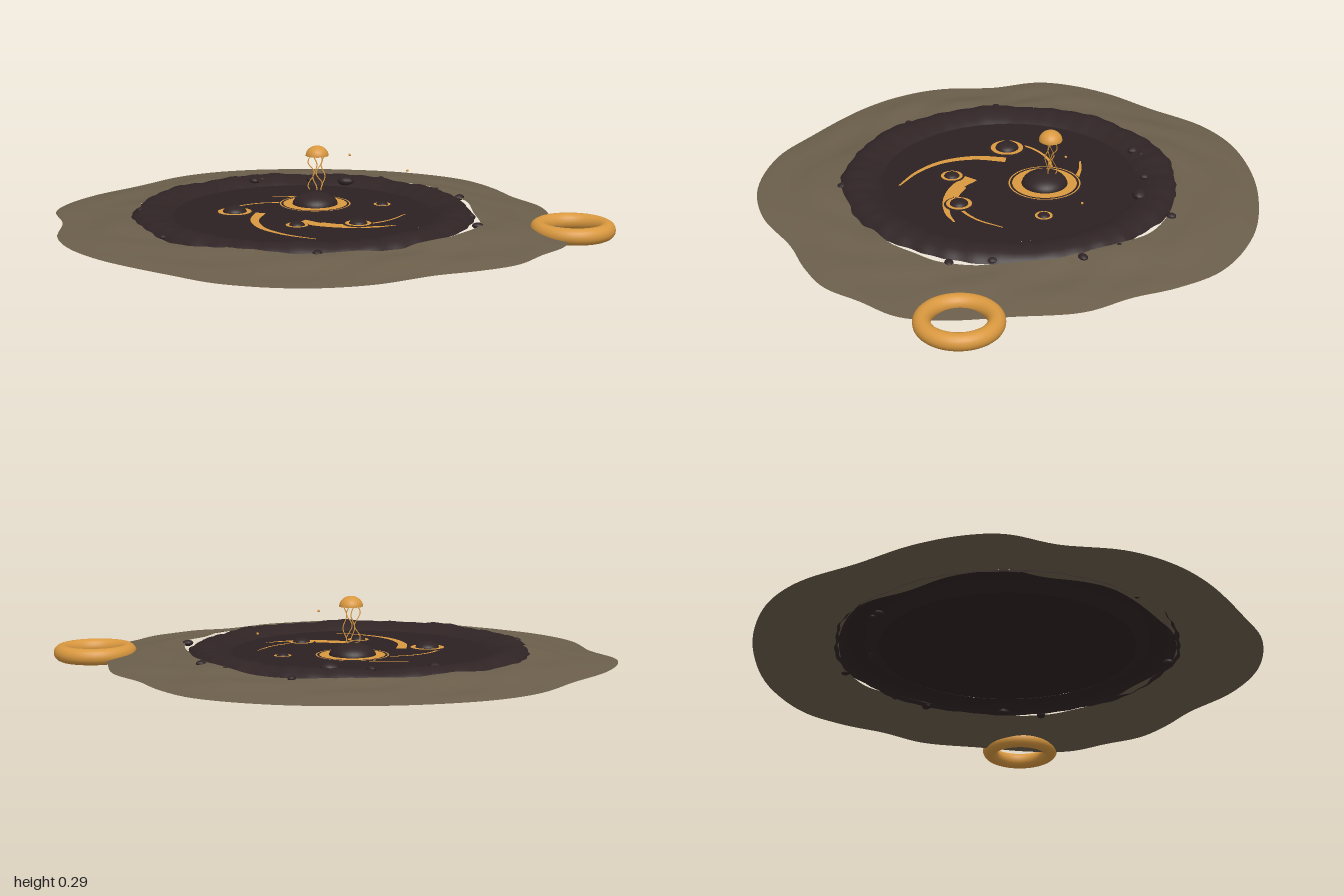
import * as THREE from 'three';

const mat = (name, color, side = THREE.DoubleSide) => {
  const m = new THREE.MeshStandardMaterial({ color, side });
  m.name = name;
  return m;
};

// Smooth sheet from a rule: fn(u, v) gives [x, y, z]
function sheet(fn, nu, nv) {
  const pos = [], idx = [];
  for (let i = 0; i <= nu; i++)
    for (let j = 0; j <= nv; j++) pos.push(...fn(i / nu, j / nv));
  for (let i = 0; i < nu; i++)
    for (let j = 0; j < nv; j++) {
      const a = i * (nv + 1) + j, b = a + nv + 1;
      idx.push(a, a + 1, b, b, a + 1, b + 1);
    }
  const g = new THREE.BufferGeometry();
  g.setAttribute('position', new THREE.Float32BufferAttribute(pos, 3));
  g.setIndex(idx);
  g.computeVertexNormals();
  return g;
}

export function createModel() {
  const root = new THREE.Group();
  const stone = mat('stone brown', 0x6b5e4b);
  const crust = mat('dark crust', 0x302425);
  const poolMat = mat('dark pool', 0x2d2122);
  const gold = mat('gold', 0xd9983f);
  const add = (name, geo, material, x = 0, y = 0, z = 0, parent = root) => {
    const m = new THREE.Mesh(geo, material);
    m.name = name;
    m.position.set(x, y, z);
    parent.add(m);
    return m;
  };
  const CX = -0.03, CZ = -0.025;

  // Wavy stone apron, sloping down from the crater to a thin outer edge
  const outline = new THREE.CatmullRomCurve3([
    [0.07, -1], [0.27, -0.97], [0.48, -0.865], [0.68, -0.705], [0.88, -0.46], [0.985, -0.18],
    [0.965, 0.03], [0.91, 0.2], [0.87, 0.4], [0.73, 0.61], [0.6, 0.8], [0.47, 0.915],
    [0.3, 0.955], [0.14, 0.995], [-0.02, 0.97], [-0.19, 0.915], [-0.44, 0.87], [-0.66, 0.75],
    [-0.84, 0.53], [-0.91, 0.32], [-0.985, 0], [-0.985, -0.21], [-0.93, -0.39], [-0.79, -0.58],
    [-0.71, -0.76], [-0.6, -0.85], [-0.42, -0.92], [-0.18, -0.955],
  ].map(([x, z]) => new THREE.Vector3(x, 0, z)), true);
  add('stoneApron', sheet((u, v) => {
    const p = outline.getPoint(u % 1), s = 0.665 + 0.335 * v, a = u * Math.PI * 2;
    const bump = 0.005 * Math.sin(a * 5 + v * 6) + 0.004 * Math.sin(a * 11 - v * 9);
    const y = 0.02 + 0.038 * Math.pow(1 - v, 0.85) + bump * Math.sin(Math.PI * Math.min(1, 0.25 + v * 0.75));
    return [p.x * s, y, p.z * s];
  }, 168, 14), stone);

  // Raised, uneven crater rim
  const rim = new THREE.CatmullRomCurve3([
    [0.5, 0.046], [0.53, 0.062], [0.58, 0.077], [0.62, 0.077], [0.65, 0.066], [0.672, 0.046],
  ].map(([r, y]) => new THREE.Vector3(r, y, 0)));
  add('craterRim', sheet((u, v) => {
    const p = rim.getPoint(v), a = (u % 1) * Math.PI * 2;
    const rough = 0.5 * Math.sin(a * 9) + 0.3 * Math.sin(a * 17 + 1) + 0.3 * Math.sin(a * 41 + 2);
    const r = p.x + 0.009 * rough * v * v;
    return [CX + r * Math.cos(a), p.y + 0.006 * rough * Math.sin(Math.PI * v), CZ + r * Math.sin(a)];
  }, 192, 10), crust);

  // Still pool in the crater
  add('pool', new THREE.CircleGeometry(0.507, 96).rotateX(-Math.PI / 2), poolMat, CX, 0.05, CZ);

  // Domed vents, each inside gold and dark rings: x, z, radius
  const band = (a, b) => new THREE.RingGeometry(a, b, 48).rotateX(-Math.PI / 2);
  [[0.095, -0.1, 0.142], [-0.24, -0.19, 0.074], [-0.19, 0.14, 0.048],
    [0.01, 0.265, 0.056], [0.295, 0.08, 0.038]].forEach(([x, z, r], i) => {
    const vent = new THREE.Group();
    vent.name = 'vent';
    vent.position.set(x, 0.054, z);
    root.add(vent);
    add('ventBase', new THREE.CircleGeometry(r * 1.04, 48).rotateX(-Math.PI / 2), crust, 0, 0, 0, vent);
    add('goldBand', band(r * 0.64, r * 0.9), gold, 0, 0.003, 0, vent);
    if (i === 0) add('goldEdge', band(r * 0.96, r), gold, 0, 0.003, 0, vent);
    const dome = add('ventDome', new THREE.SphereGeometry(r * 0.64, 32, 12, 0, Math.PI * 2, 0, Math.PI / 2),
      crust, 0, 0, 0, vent);
    dome.scale.y = 0.54;
  });

  // Tapered gold swirls lying on the pool: start width, end width, path
  [
    [0.012, 0.012, [[-0.25, -0.25], [-0.16, -0.27], [-0.06, -0.255], [0.03, -0.2]]],
    [0.006, 0.018, [[0.04, -0.34], [0.09, -0.295], [0.14, -0.23]]],
    [0.042, 0.008, [[-0.165, -0.12], [-0.26, -0.035], [-0.315, 0.09], [-0.31, 0.22], [-0.265, 0.345]]],
    [0.06, 0.006, [[-0.13, 0.09], [-0.105, 0.19], [-0.04, 0.285], [0.04, 0.345], [0.11, 0.368]]],
    [0.022, 0.006, [[-0.09, 0.16], [-0.04, 0.24], [0.05, 0.285], [0.15, 0.29], [0.26, 0.255]]],
  ].forEach(([w0, w1, pts]) => {
    const c = new THREE.CatmullRomCurve3(pts.map(([x, z]) => new THREE.Vector3(x, 0, z)));
    add('goldSwirl', sheet((u, v) => {
      const p = c.getPoint(u), t = c.getTangent(u), w = (w0 + (w1 - w0) * u) * (v - 0.5);
      return [p.x - t.z * w, 0.0525, p.z + t.x * w];
    }, 32, 1), gold);
  });

  // Small floating bell with flat wavy tendrils
  const floater = new THREE.Group();
  floater.name = 'floater';
  floater.position.set(0.115, 0.248, -0.112);
  root.add(floater);
  const bell = add('bell', new THREE.SphereGeometry(0.046, 32, 14, 0, Math.PI * 2, 0, Math.PI / 2), gold, 0, 0, 0, floater);
  bell.scale.y = 0.87;
  for (let k = 0; k < 4; k++) {
    const side = k % 2 ? 1 : -1, amp = k < 2 ? 0.016 : 0.01;
    add('tendril', sheet((u, v) => [
      side * (0.016 + amp * Math.sin(u * 9 + (k < 2 ? 0 : 2.4))) + (v - 0.5) * 0.006, -0.14 * u, 0,
    ], 28, 1), gold, 0, 0, (k - 1.5) * 0.012, floater);
  }

  // Drifting sparks
  for (const [x, y, z] of [[0.25, 0.24, -0.07], [0.465, 0.165, 0.04]])
    add('spark', new THREE.SphereGeometry(0.005, 10, 8), gold, x, y, z);

  // Pebbles on the rim: x, z, size
  [[0.13, -0.55, 0.026], [0.175, -0.55, 0.014], [0.33, -0.42, 0.02], [0.425, -0.3, 0.036],
    [0.61, -0.29, 0.02], [0.65, 0.02, 0.016], [0.625, 0.18, 0.022], [0.43, 0.445, 0.022],
    [0.34, 0.58, 0.022], [-0.4, 0.52, 0.024], [-0.55, -0.39, 0.02], [-0.69, -0.03, 0.016],
  ].forEach(([x, z, s], i) => {
    const r = Math.hypot(x - CX, z - CZ);
    const p = add('pebble', new THREE.SphereGeometry(s, 12, 8), crust, x, r > 0.64 ? 0.055 : 0.07, z);
    p.scale.set(0.8, 0.55, 1);
    p.rotation.y = i * 1.3;
  });

  // Loose gold ring resting beside the apron
  add('goldRing', new THREE.TorusGeometry(0.131, 0.0325, 20, 64).rotateX(Math.PI / 2), gold, 0.65, 0.0335, 0.783);

  return root;
}
